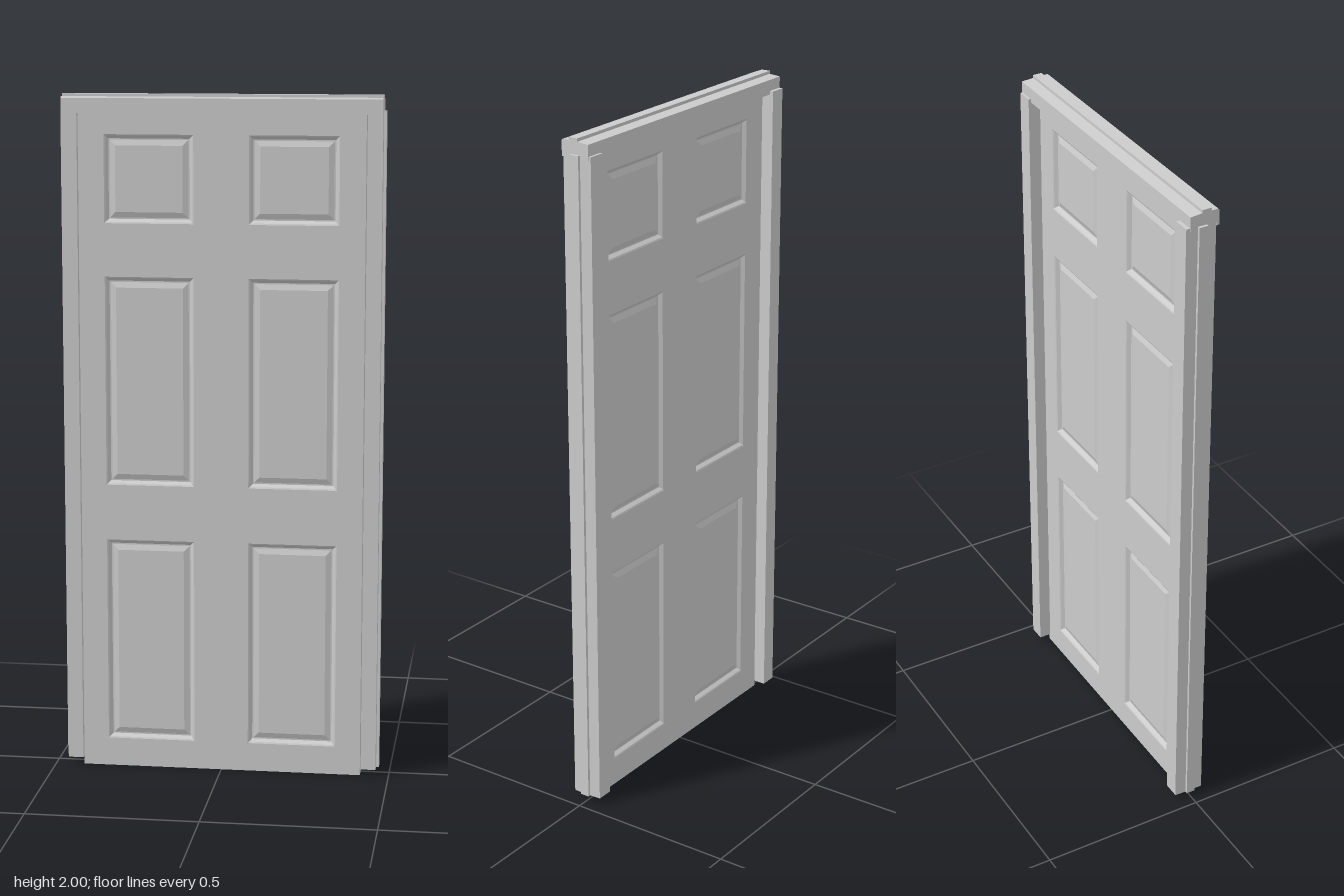
import * as THREE from 'three';

const mat = new THREE.MeshStandardMaterial({ color: 0xcccccc, flatShading: true });

const FRONT = 0.038, BACK = -0.009; // faces of the door leaf

function add(group, name, geometry) {
  const mesh = new THREE.Mesh(geometry, mat);
  mesh.name = name;
  group.add(mesh);
  return mesh;
}

function extrude(points, depth, holes = []) {
  const shape = new THREE.Shape(points.map(([x, y]) => new THREE.Vector2(x, y)));
  for (const h of holes) shape.holes.push(new THREE.Path(h.map(([x, y]) => new THREE.Vector2(x, y))));
  return new THREE.ExtrudeGeometry(shape, { depth, bevelEnabled: false });
}

const rect = (x0, y0, x1, y1) => [[x0, y0], [x1, y0], [x1, y1], [x0, y1]];

// Nested rectangles joined into a moulded recess with a raised field, facing +z
function panelGeometry(w, h) {
  const profile = [[0, 0], [0.004, -0.002], [0.012, -0.012], [0.016, -0.012], [0.032, -0.006]];
  const pos = [], index = [];
  for (const [inset, z] of profile) {
    for (const [x, y] of rect(inset - w / 2, inset - h / 2, w / 2 - inset, h / 2 - inset)) pos.push(x, y, z);
  }
  for (let r = 0; r < profile.length - 1; r++) {
    for (let i = 0; i < 4; i++) {
      const a = r * 4 + i, b = r * 4 + (i + 1) % 4;
      index.push(a, b, b + 4, a, b + 4, a + 4);
    }
  }
  const c = (profile.length - 1) * 4;
  index.push(c, c + 1, c + 2, c, c + 2, c + 3);
  const geo = new THREE.BufferGeometry();
  geo.setAttribute('position', new THREE.Float32BufferAttribute(pos, 3));
  geo.setIndex(index);
  const flat = geo.toNonIndexed();
  flat.computeVertexNormals();
  return flat;
}

export function createModel() {
  const model = new THREE.Group();
  model.name = 'panelledDoor';

  // Door leaf with six openings
  const leaf = new THREE.Group();
  leaf.name = 'doorLeaf';
  model.add(leaf);
  const rows = [[0.085, 0.695], [0.86, 1.475], [1.63, 1.885]];
  const holes = [];
  for (const [y0, y1] of rows) {
    for (const s of [-1, 1]) {
      const cx = s * 0.21, w = 0.26, h = y1 - y0;
      holes.push(rect(cx - w / 2, y0, cx + w / 2, y1));
      // Raised panels on both faces
      const front = add(leaf, 'frontPanel', panelGeometry(w, h));
      front.position.set(cx, (y0 + y1) / 2, FRONT);
      const back = add(leaf, 'backPanel', panelGeometry(w, h));
      back.position.set(cx, (y0 + y1) / 2, BACK);
      back.rotation.y = Math.PI;
    }
  }
  const slab = add(leaf, 'stilesAndRails', extrude(rect(-0.415, 0, 0.415, 1.95), FRONT - BACK, holes));
  slab.position.z = BACK;

  // Side jambs: rebated inside for the leaf, with a tongue outside
  const jambProfile = [
    [0.418, 0.042], [0.462, 0.042], [0.462, 0.014], [0.47, 0.014], [0.47, -0.013],
    [0.462, -0.013], [0.46, -0.047], [0.41, -0.047], [0.41, -0.011], [0.418, -0.011],
  ];
  for (const s of [-1, 1]) {
    const geo = extrude(jambProfile.map(([x, z]) => [s * x, -z]), 1.935);
    geo.rotateX(-Math.PI / 2);
    const jamb = add(model, s > 0 ? 'leftJamb' : 'rightJamb', geo);
    jamb.position.set(0, 0.02, s * 0.002);
  }

  // Head jamb: front lip, tongue on top and a stop behind the leaf
  const headProfile = [
    [0.049, 1.945], [0.049, 1.988], [0.045, 1.992], [0.025, 1.992], [0.025, 2], [-0.003, 2],
    [-0.003, 1.991], [-0.038, 1.988], [-0.038, 1.945], [-0.011, 1.945], [-0.011, 1.952],
    [0.042, 1.952], [0.042, 1.945],
  ];
  const headGeo = extrude(headProfile.map(([z, y]) => [-z, y]), 0.924);
  headGeo.translate(0, 0, -0.462);
  headGeo.rotateY(Math.PI / 2);
  add(model, 'headJamb', headGeo);

  return model;
}
